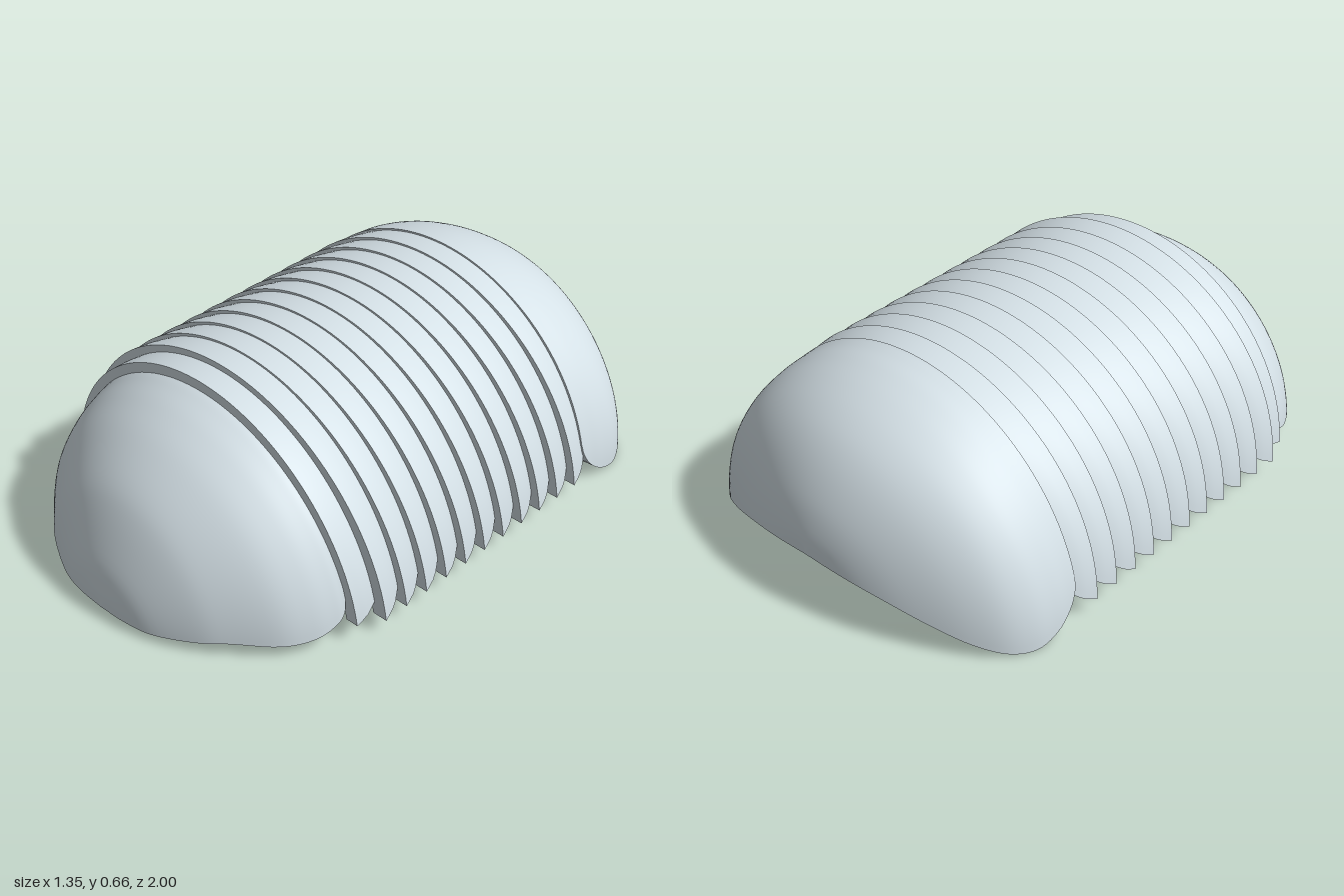
import * as THREE from 'three';
import { mergeGeometries } from 'three/addons/utils/BufferGeometryUtils.js';

const ARC = 72; // steps across each arch
const material = new THREE.MeshStandardMaterial({ color: 0xd4e0e6 });

// Smooth patch from a function of (row, column)
function patch(rows, cols, point) {
  const pos = [], idx = [];
  for (let i = 0; i <= rows; i++) {
    for (let j = 0; j <= cols; j++) {
      pos.push(...point(i, j));
      if (i < rows && j < cols) {
        const a = i * (cols + 1) + j, b = a + cols + 1;
        idx.push(a, a + 1, b, b, a + 1, b + 1);
      }
    }
  }
  const g = new THREE.BufferGeometry();
  g.setAttribute('position', new THREE.Float32BufferAttribute(pos, 3));
  g.setIndex(idx);
  g.computeVertexNormals();
  return g;
}

// Thick arched shell through sections [z, half width, top, bottom], ordered front to back.
// Each section is a half ellipse about y = 0, cut off at its bottom height.
// f scales the inner wall, fz shortens it towards pivot, lean sweeps the low tips backwards.
function shell(name, sections, rows, { f, fz = 1, pivot = 0, lean = 0 }) {
  const curve = (pick) => new THREE.CatmullRomCurve3(sections.map(pick), false, 'catmullrom', 0.5);
  const upper = curve(([z, w, h]) => new THREE.Vector3(z, w, h));
  const lower = curve(([z, , , b]) => new THREE.Vector3(z, b, 0));
  const at = (i, j, inner) => {
    const { x: zOut, y: w, z: h } = upper.getPoint(i / rows);
    const b = lower.getPoint(i / rows).y;
    const start = Math.asin(Math.min(1, b / h));
    const a = start + ((Math.PI - 2 * start) * j) / ARC, s = Math.sin(a);
    const k = inner ? f : 1;
    const z = inner ? pivot + (zOut - pivot) * fz : zOut;
    return [k * w * Math.cos(a), b + k * (h * s - b), z - lean * (1 - s) ** 2];
  };
  const geometry = mergeGeometries([
    patch(rows, ARC, (i, j) => at(i, ARC - j, false)), // outside
    patch(rows, ARC, (i, j) => at(i, j, true)), // inside
    patch(rows, 1, (i, j) => at(i, 0, j === 1)), // left rim
    patch(rows, 1, (i, j) => at(i, ARC, j === 0)), // right rim
    patch(1, ARC, (i, j) => at(0, ARC - j, i === 0)), // front edge
    patch(1, ARC, (i, j) => at(rows, ARC - j, i === 1)), // back edge
  ]);
  const mesh = new THREE.Mesh(geometry, material);
  mesh.name = name;
  return mesh;
}

export function createModel() {
  const model = new THREE.Group();
  model.name = 'segmentedShell';

  // Domed head shield
  model.add(shell('headShield', [
    [1.0, 0, 0.04, 0.034],
    [0.992, 0.105, 0.1, 0.03],
    [0.97, 0.205, 0.19, 0.03],
    [0.91, 0.33, 0.325, 0.04],
    [0.85, 0.415, 0.415, 0.05],
    [0.75, 0.527, 0.51, 0.045],
    [0.66, 0.582, 0.57, 0.05],
    [0.59, 0.605, 0.603, 0.075],
    [0.56, 0.611, 0.614, 0.105],
    [0.55, 0.613, 0.617, 0.15],
  ], 45, { f: 0.9, fz: 0.86, pivot: 0.55 }));

  // Narrow collar band behind the head
  model.add(shell('collarBand', [
    [0.56, 0.642, 0.648, 0.065],
    [0.51, 0.642, 0.648, 0.08],
    [0.455, 0.632, 0.645, 0.11],
  ], 4, { f: 0.93, lean: 0.02 }));

  // Overlapping body bands, almost flush at the crown and stepped at the sides
  const bands = new THREE.Group();
  bands.name = 'bodyBands';
  const count = 11, pitch = 0.0908;
  for (let i = 0; i < count; i++) {
    const z = 0.475 - i * pitch;
    bands.add(shell(`bodyBand${i + 1}`, [
      [z, 0.676, 0.667, 0.05],
      [z - 0.05, 0.666, 0.665, 0.075],
      [z - pitch - 0.01, 0.642, 0.66, 0.115],
    ], 5, { f: 0.92, lean: 0.024 }));
  }
  model.add(bands);

  // Large domed tail shield
  model.add(shell('tailShield', [
    [-0.522, 0.66, 0.667, 0.16],
    [-0.53, 0.661, 0.665, 0.12],
    [-0.56, 0.662, 0.66, 0.07],
    [-0.62, 0.663, 0.648, 0.025],
    [-0.7, 0.652, 0.62, 0.003],
    [-0.78, 0.61, 0.578, 0.015],
    [-0.85, 0.532, 0.523, 0.05],
    [-0.91, 0.43, 0.45, 0.1],
    [-0.96, 0.312, 0.36, 0.15],
    [-0.99, 0.185, 0.27, 0.18],
    [-1.0, 0, 0.2, 0.195],
  ], 50, { f: 0.9, fz: 0.87, pivot: -0.522 }));

  return model;
}
